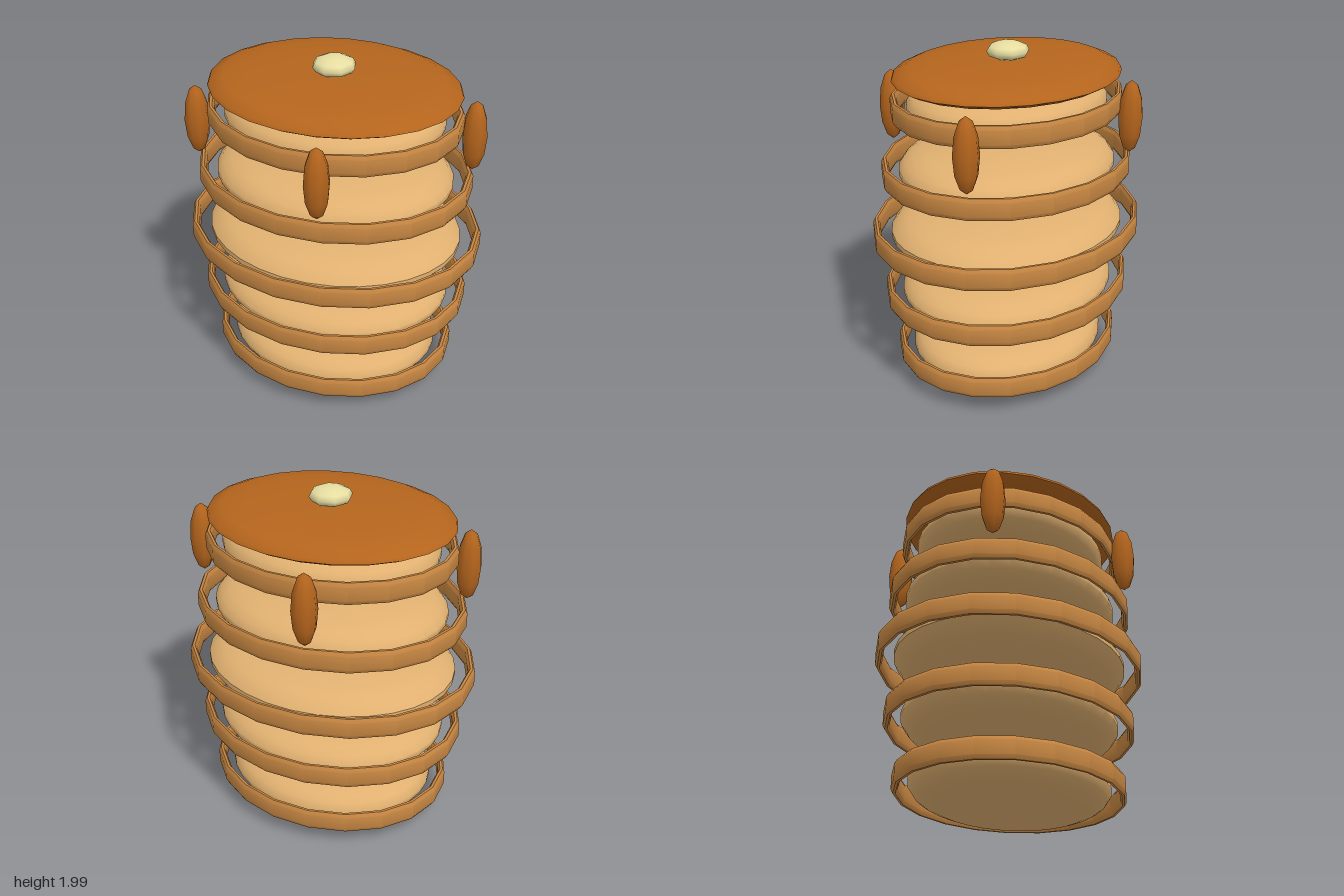
import * as THREE from 'three';
import { toCreasedNormals } from 'three/addons/utils/BufferGeometryUtils.js';

const DEPTH = 0.85; // the stack is oval: depth relative to width

const mat = (name, color) => new THREE.MeshStandardMaterial({ name, color });

// Revolves a closed or axis-to-axis profile, listed from the bottom outwards and up
function revolve(points, segments, crease) {
  const profile = points.map(([r, y]) => new THREE.Vector2(r, y));
  return toCreasedNormals(new THREE.LatheGeometry(profile, segments), crease);
}

function addPart(group, name, geometry, material, x, y, z) {
  const mesh = new THREE.Mesh(geometry, material);
  mesh.name = name;
  mesh.position.set(x, y, z);
  group.add(mesh);
  return mesh;
}

export function createModel() {
  const model = new THREE.Group();
  model.name = 'pancakeStack';
  const batter = mat('pancake batter', 0xe0b070);
  const crust = mat('browned crust', 0xc68642);
  const syrup = mat('syrup', 0xb5651d);
  const butter = mat('butter', 0xf0e6a8);

  // Five lens-shaped pancakes, widest in the middle, each with a browned rim
  const rimRadii = [0.743, 0.813, 0.883, 0.813, 0.743];
  rimRadii.forEach((radius, i) => {
    const y = 0.178 + i * 0.3715;
    const r = radius * 0.865;
    const cake = revolve([
      [0, -0.17], [r * 0.78, -0.107], [r * 0.88, -0.085], [r * 0.95, -0.058], [r, -0.015],
      [r, 0.015], [r * 0.95, 0.058], [r * 0.88, 0.085], [r * 0.78, 0.107], [0, 0.17],
    ], 32, 0.7);
    addPart(model, 'pancake' + (i + 1), cake, batter, 0, y, 0).scale.z = DEPTH;

    const inner = radius - 0.042;
    const rim = revolve([
      [inner, 0.04], [inner, -0.04], [inner + 0.013, -0.062], [radius - 0.013, -0.062],
      [radius, -0.04], [radius, 0.04], [radius - 0.013, 0.062], [inner + 0.013, 0.062], [inner, 0.04],
    ], 20, 0.6);
    addPart(model, 'rim' + (i + 1), rim, crust, 0, y, 0).scale.z = DEPTH;
  });

  // Syrup pool over the top pancake
  const pool = revolve([
    [0, -0.07], [0.3, -0.066], [0.55, -0.053], [0.68, -0.035], [0.73, -0.01],
    [0.72, 0.01], [0.64, 0.042], [0.5, 0.056], [0.3, 0.066], [0, 0.07],
  ], 24, 0.9);
  addPart(model, 'syrupPool', pool, syrup, 0, 1.835, 0).scale.z = DEPTH;

  // Syrup drips hanging around the edge
  const drip = new THREE.SphereGeometry(0.073, 8, 6);
  const dripSpots = [[0.765, -0.205], [0.225, 0.655], [-0.722, 0.3], [-0.262, -0.648]];
  dripSpots.forEach(([x, z], i) => {
    addPart(model, 'syrupDrip' + (i + 1), drip, syrup, x, 1.59, z).scale.y = 2.88;
  });

  // Butter pat
  const pat = new THREE.SphereGeometry(0.125, 8, 6);
  addPart(model, 'butterPat', pat, butter, 0, 1.945, 0).scale.y = 0.44;

  return model;
}
